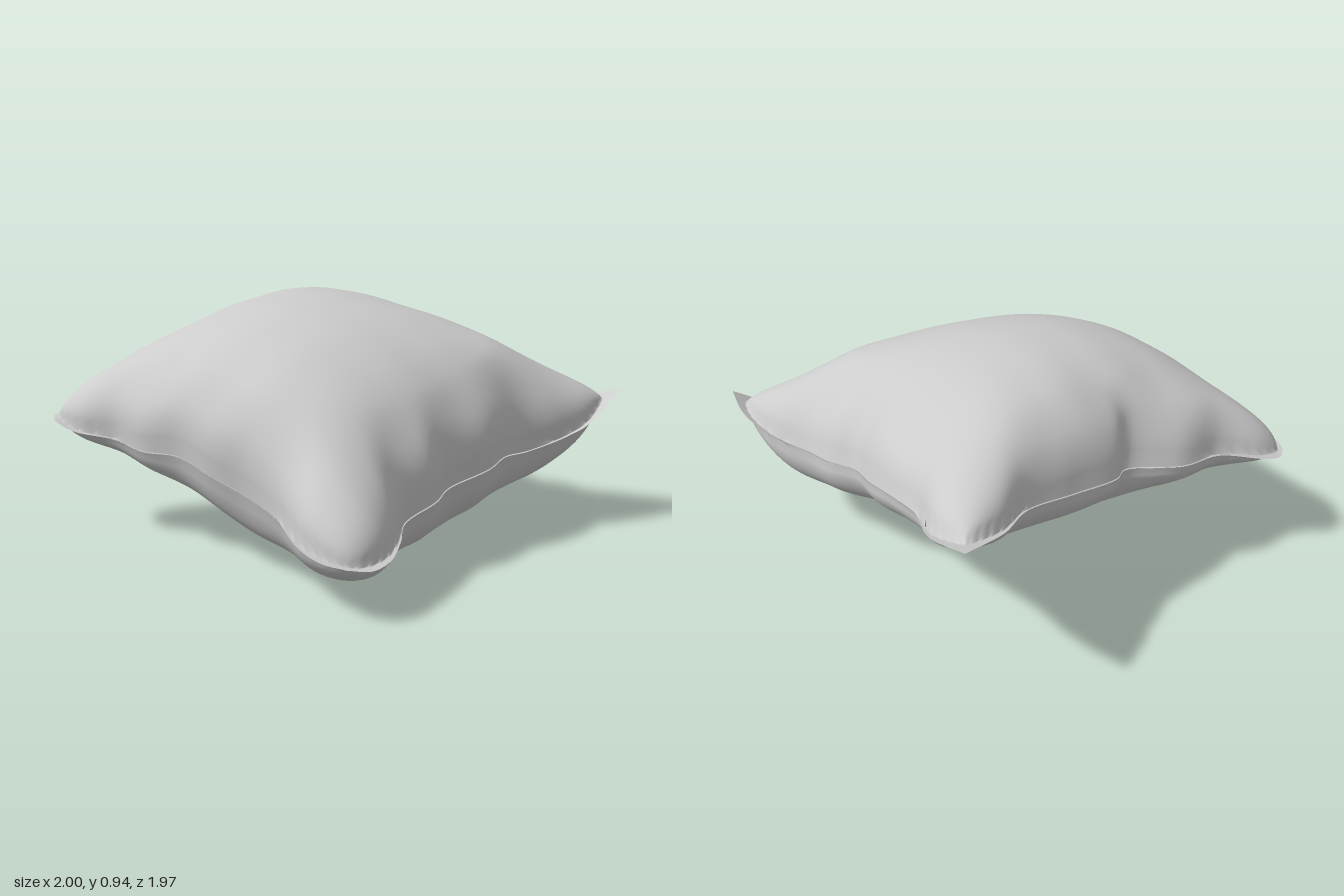
import * as THREE from 'three';

const { smoothstep, clamp } = THREE.MathUtils;
const curve = (pts) => new THREE.CatmullRomCurve3(pts.map((p) => new THREE.Vector3(...p)), false, 'centripetal');

// Corners of the seam
const A = [-0.985, 0.46, -0.475]; // back, -x
const B = [0.49, 0.74, -0.985]; // back, +x
const C = [1.0, 0.54, 0.58]; // front, +x
const D = [-0.525, 0.19, 0.955]; // front, -x

// Wavy seam along the four sides: back, front, left (-x), right (+x)
const seam = [
  curve([A, [-0.945, 0.465, -0.517], [-0.87, 0.48, -0.53], [-0.68, 0.52, -0.5], [-0.5, 0.54, -0.545],
    [-0.27, 0.57, -0.53], [-0.2, 0.59, -0.6], [0, 0.62, -0.67], [0.2, 0.66, -0.75], [0.32, 0.69, -0.87], B]),
  curve([D, [-0.45, 0.18, 0.98], [-0.36, 0.185, 0.95], [-0.25, 0.2, 0.85], [-0.15, 0.22, 0.74],
    [0, 0.26, 0.71], [0.1, 0.28, 0.65], [0.3, 0.32, 0.635], [0.4, 0.345, 0.6], [0.55, 0.34, 0.56],
    [0.7, 0.38, 0.59], [0.83, 0.43, 0.605], C]),
  curve([A, [-1, 0.455, -0.4], [-0.96, 0.43, -0.3], [-0.85, 0.41, -0.18], [-0.8, 0.39, -0.02],
    [-0.72, 0.39, 0.12], [-0.67, 0.35, 0.28], [-0.6, 0.3, 0.42], [-0.57, 0.26, 0.58], [-0.595, 0.22, 0.78],
    [-0.575, 0.2, 0.89], D]),
  curve([B, [0.55, 0.68, -0.8], [0.545, 0.63, -0.6], [0.59, 0.61, -0.45], [0.63, 0.56, -0.27],
    [0.65, 0.52, -0.12], [0.73, 0.5, 0], [0.77, 0.47, 0.12], [0.9, 0.48, 0.29], [0.98, 0.51, 0.45], C]),
];

// The same sides as plain arcs, used for the calm inner cloth
const arcs = seam.map((c) => {
  const start = c.getPointAt(0), end = c.getPointAt(1);
  const control = c.getPointAt(0.5).multiplyScalar(2).addScaledVector(start, -0.5).addScaledVector(end, -0.5);
  return new THREE.QuadraticBezierCurve3(start, control, end);
});

const corners = [A, B, D, C].map((p) => new THREE.Vector3(...p));
const up = new THREE.Vector3(-0.144, 1, 0.209).normalize();
const arch = (t) => 4 * t * (1 - t);

// Surface spanned between four side curves
function span([back, front, left, right], u, v) {
  const p = new THREE.Vector3();
  p.addScaledVector(back.getPointAt(u), 1 - v).addScaledVector(front.getPointAt(u), v);
  p.addScaledVector(left.getPointAt(v), 1 - u).addScaledVector(right.getPointAt(v), u);
  p.addScaledVector(corners[0], -(1 - u) * (1 - v)).addScaledVector(corners[1], -u * (1 - v));
  return p.addScaledVector(corners[2], -(1 - u) * v).addScaledVector(corners[3], -u * v);
}

// Puffed height: flat flange at the corners, steep rise, full middle, soft puckers by the seam
function puff(u, v) {
  const inset = (t, across) => {
    const m = 0.003 + 0.032 * Math.pow(1 - arch(across), 2);
    return clamp((t - m) / (1 - 2 * m), 0, 1);
  };
  const wu = arch(inset(u, v)), wv = arch(inset(v, u));
  const pucker = Math.sin(u * 34) * Math.exp(-wv * 4) * wu + Math.sin(v * 31 + 1) * Math.exp(-wu * 4) * wv;
  return Math.pow(wu * wv, 0.45) * (1 + 0.05 * pucker);
}

// One sheet of cloth, side = 1 for the top and -1 for the underside
function sheet(side) {
  const geo = new THREE.PlaneGeometry(1, 1, 110, 110);
  const pos = geo.attributes.position, uv = geo.attributes.uv;
  const ease = (t) => 0.3 * t + 0.35 * (1 - Math.cos(Math.PI * t)); // finer rows by the seam
  for (let i = 0; i < pos.count; i++) {
    const u = ease(side > 0 ? uv.getX(i) : 1 - uv.getX(i));
    const v = ease(1 - uv.getY(i));
    const p = span(seam, u, v).lerp(span(arcs, u, v), smoothstep(arch(u) * arch(v), 0, 0.45));
    // the underside is hollower toward the back
    const sag = side > 0 ? 0.495 : 0.39 * (1 - 0.44 * smoothstep(-p.z, -0.4, 0.25));
    p.addScaledVector(up, side * (0.002 + sag * puff(u, v)));
    pos.setXYZ(i, p.x, p.y, p.z);
  }
  geo.computeVertexNormals();
  return geo;
}

export function createModel() {
  const group = new THREE.Group();
  group.name = 'pillow';
  const cloth = new THREE.MeshStandardMaterial({ color: 0xcccccc, side: THREE.DoubleSide });
  for (const [name, side] of [['pillowTop', 1], ['pillowUnderside', -1]]) {
    const mesh = new THREE.Mesh(sheet(side), cloth);
    mesh.name = name;
    group.add(mesh);
  }
  // rest on the ground
  group.position.y = -new THREE.Box3().setFromObject(group, true).min.y;
  return group;
}
